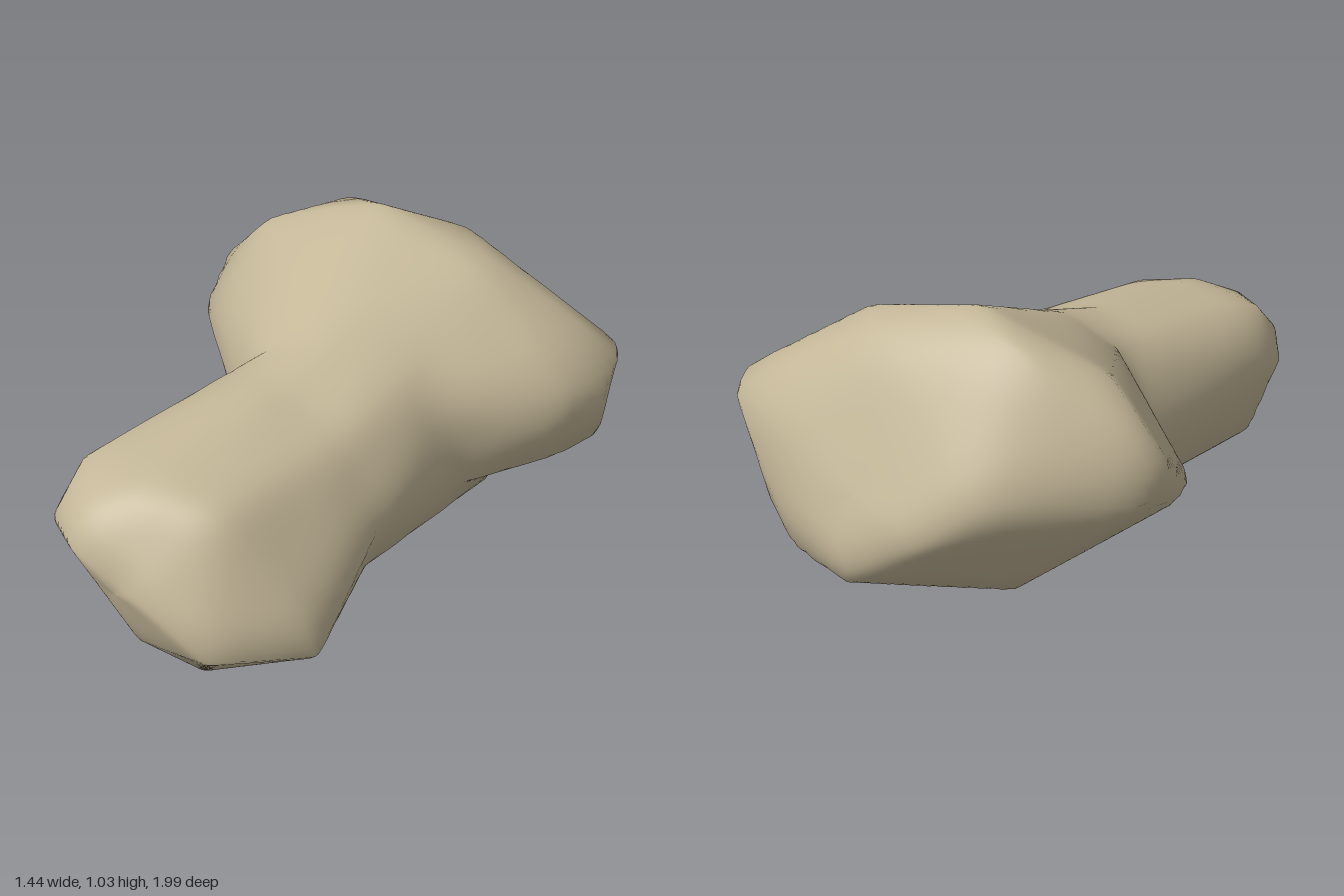
import * as THREE from 'three';
import { ConvexGeometry } from 'three/addons/geometries/ConvexGeometry.js';

const stone = new THREE.MeshStandardMaterial({ color: 0xc4b798 });
stone.name = 'sandstone';

// Corner points of the wide back lump
const HEAD = [
  [-0.12, 1.035, -0.52], [0.3, 0.935, -0.6], [0.1, 0.95, -0.73], [-0.52, 0.9, -0.39],
  [-0.33, 0.975, -0.6], [0.4, 0.67, -0.92], [0.64, 0.64, -0.9], [0.7, 0.67, -0.8],
  [0.72, 0.61, -0.69], [0.72, 0.52, -0.69], [0.68, 0.63, -0.58], [0.66, 0.34, -0.8],
  [0.65, 0.34, -0.6], [0.65, 0.5, -0.46], [0.5, 0.5, -0.25], [0.49, 0.3, -0.28],
  [0.24, 0.27, -0.99], [-0.06, 0.33, -1], [0, 0.24, -0.98], [0.45, 0.3, -0.92],
  [-0.26, 0.13, -0.54], [-0.725, 0.7, -0.37], [-0.705, 0.58, -0.46], [-0.66, 0.49, -0.25],
  [-0.68, 0.56, -0.21], [-0.42, 0.6, -0.81], [-0.26, 0.45, -0.92], [-0.26, 0.45, 0.05],
  [-0.18, 0.17, -0.08], [0.1, 0.77, 0.07], [-0.1, 0.7, 0.08], [0.42, 0.64, -0.1],
  [0.3, 0.13, -0.5],
];
// Ring where the front lump meets the neck
const WAIST = [
  [-0.21, 0.4], [-0.17, 0.56], [-0.1, 0.68], [0.1, 0.75], [0.4, 0.65],
  [0.55, 0.4], [0.5, 0.22], [0.35, 0.1], [0.1, 0.1], [-0.14, 0.17],
].map(([x, y]) => [x, y, 0.2]);
// Neck running from the waist back into the wide lump
const NECK = [
  ...WAIST, [0.1, 0.77, 0.07], [-0.22, 0.4, -0.4], [-0.16, 0.16, -0.4], [-0.1, 0.7, -0.3],
  [0.1, 0.89, -0.35], [0.42, 0.64, -0.12], [0.36, 0.79, -0.42], [0.49, 0.42, -0.13],
  [0.47, 0.4, -0.5], [0.44, 0.2, -0.5], [0.3, 0.13, -0.5], [0, 0.13, -0.5],
];
// Corner points of the narrower front lump
const FRONT = [
  ...WAIST, [-0.09, 0.64, 0.8], [0.2, 0.66, 0.8], [0.4, 0.62, 0.72], [0.07, 0.5, 1],
  [-0.07, 0.5, 0.95], [-0.19, 0.45, 0.83], [-0.21, 0.4, 0.5], [-0.18, 0.56, 0.6],
  [0.1, 0.6, 0.93], [-0.13, 0.18, 0.75], [0.04, 0.03, 0.73], [0.42, 0, 0.54],
  [0.33, 0.02, 0.73], [0.685, 0.21, 0.6], [0.52, 0.25, 0.88], [0.31, 0.4, 0.95],
  [0.2, 0.15, 0.87],
];

// Face planes of the hull around a set of points
function hullPlanes(points) {
  const pos = new ConvexGeometry(points.map((p) => new THREE.Vector3(...p))).attributes.position;
  const corner = (i) => new THREE.Vector3().fromBufferAttribute(pos, i);
  const planes = [];
  for (let i = 0; i < pos.count; i += 3) {
    planes.push(new THREE.Plane().setFromCoplanarPoints(corner(i), corner(i + 1), corner(i + 2)));
  }
  return planes;
}

// Distance along a ray to where it leaves the hull, or 0 if it misses
function exitDistance(planes, origin, dir) {
  let near = 0, far = Infinity;
  for (const plane of planes) {
    const slope = plane.normal.dot(dir), d = plane.distanceToPoint(origin);
    if (slope > 1e-7) far = Math.min(far, -d / slope);
    else if (slope < -1e-7) near = Math.max(near, -d / slope);
    else if (d > 0) return 0;
  }
  return near < far ? far : 0;
}

const average = (points) => points
  .reduce((sum, p) => sum.add(p), new THREE.Vector3()).divideScalar(points.length);

// Move each grid point towards (or, if negative, away from) the mean of its neighbours
function relax(grid, amount) {
  const last = grid.length - 1;
  return grid.map((row, r) => {
    if (r === 0 || r === last) {
      const pole = row[0].clone().lerp(average(grid[r === 0 ? 1 : last - 1]), amount);
      return row.map(() => pole);
    }
    const n = row.length;
    return row.map((p, s) => p.clone().lerp(average([
      grid[r - 1][s], grid[r + 1][s], row[(s + 1) % n], row[(s + n - 1) % n],
    ]), amount));
  });
}

function gridGeometry(grid) {
  const rows = grid.length - 1, n = grid[0].length, index = [];
  for (let r = 0; r < rows; r++) {
    for (let s = 0; s < n; s++) {
      const a = r * n + s, b = r * n + (s + 1) % n, c = a + n, d = b + n;
      if (r > 0) index.push(a, b, d);
      if (r < rows - 1) index.push(a, d, c);
    }
  }
  const geometry = new THREE.BufferGeometry().setFromPoints(grid.flat());
  geometry.setIndex(index);
  geometry.computeVertexNormals();
  return geometry;
}

// One skin over all lumps: rays from a central axis, with a domed fan at each end
function skinGeometry() {
  const hulls = [HEAD, NECK, FRONT].map(hullPlanes);
  const back = new THREE.Vector3(0, 0.52, -0.58), front = new THREE.Vector3(0.2, 0.36, 0.6);
  const SIDES = 120, CAP = 30, BODY = 90, ROWS = 2 * CAP + BODY;
  let grid = [];
  for (let r = 0; r <= ROWS; r++) {
    const along = THREE.MathUtils.clamp((r - CAP) / BODY, 0, 1);
    const lean = (Math.min(r - CAP, 0) + Math.max(r - CAP - BODY, 0)) / CAP * Math.PI / 2;
    const origin = back.clone().lerp(front, along);
    const c = r === 0 || r === ROWS ? 0 : Math.cos(lean);
    const row = [];
    for (let s = 0; s < SIDES; s++) {
      const a = s / SIDES * Math.PI * 2;
      const dir = new THREE.Vector3(Math.cos(a) * c, Math.sin(a) * c, Math.sin(lean));
      const reach = Math.max(...hulls.map((h) => exitDistance(h, origin, dir)));
      row.push(origin.clone().addScaledVector(dir, reach));
    }
    grid.push(row);
  }
  // Ease the join without shrinking the corners
  for (const amount of [0.5, -0.45, 0.5, -0.45]) grid = relax(grid, amount);
  const geometry = gridGeometry(grid);
  // Soft normals come from a rounder copy of the same grid
  let soft = grid;
  for (let pass = 0; pass < 40; pass++) soft = relax(soft, 0.5);
  geometry.setAttribute('normal', gridGeometry(soft).attributes.normal);
  return geometry;
}

export function createModel() {
  const group = new THREE.Group();
  group.name = 'rock';
  const body = new THREE.Mesh(skinGeometry(), stone);
  body.name = 'rockBody';
  group.add(body);
  return group;
}
